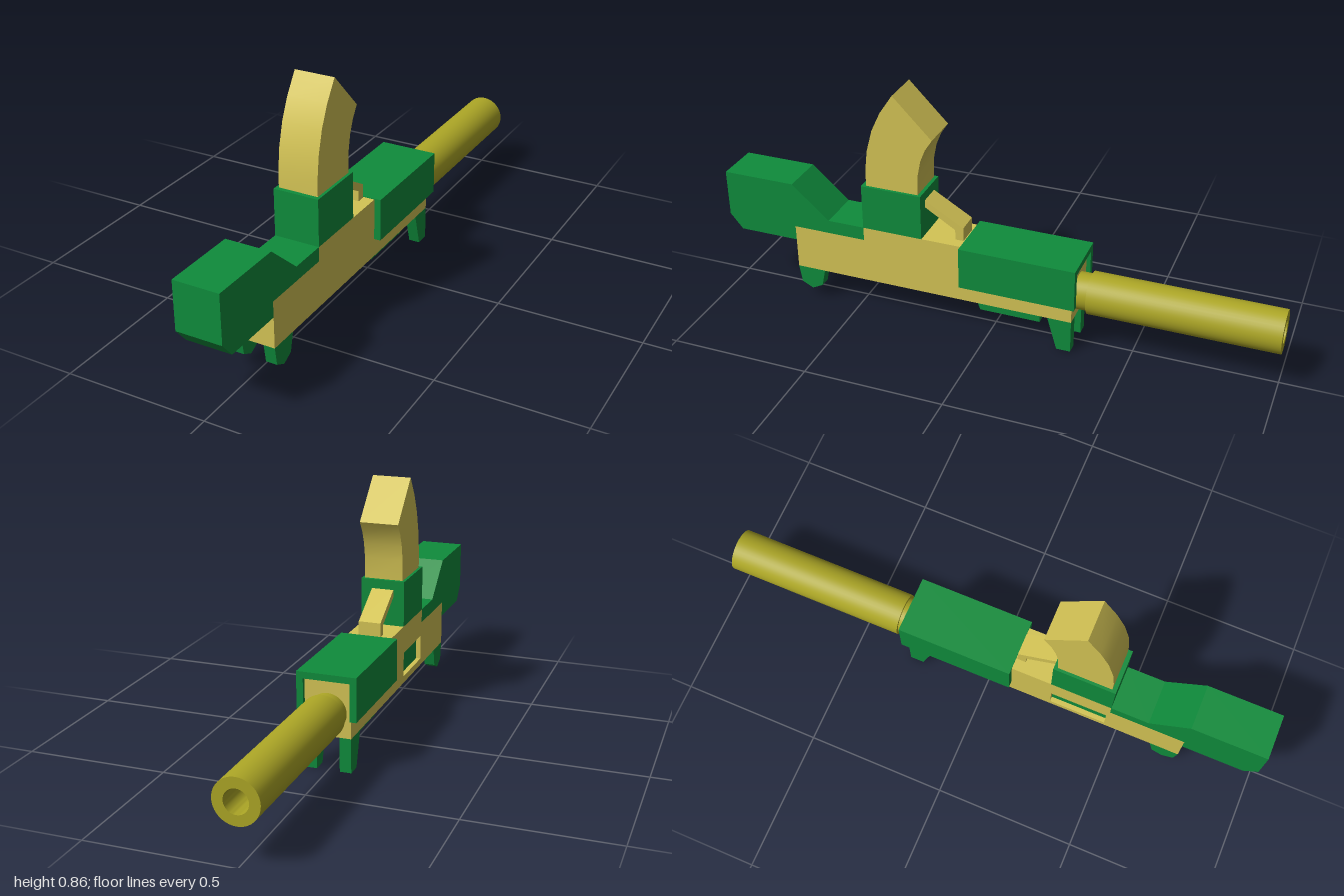
import * as THREE from 'three';
import { toCreasedNormals } from 'three/addons/utils/BufferGeometryUtils.js';

const mat = (color) => new THREE.MeshStandardMaterial({ color });

export function createModel() {
  const model = new THREE.Group();
  const tan = mat(0xd4c455), green = mat(0x0f8c3c), olive = mat(0xaca626);

  const add = (name, geometry, material, parent = model) => {
    const mesh = new THREE.Mesh(geometry, material);
    mesh.name = name;
    parent.add(mesh);
    return mesh;
  };
  // Side outline of [z, y] points, extruded from x0 to x1
  const outline = (pts) => pts.map(([z, y]) => new THREE.Vector2(-z, y));
  const profile = (pts, x0, x1, holes = []) => {
    const shape = new THREE.Shape(outline(pts));
    holes.forEach((h) => shape.holes.push(new THREE.Path(outline(h))));
    const g = new THREE.ExtrudeGeometry(shape, { depth: x1 - x0, bevelEnabled: false });
    return g.rotateY(Math.PI / 2).translate(x0, 0, 0);
  };
  const box = (x0, x1, y0, y1, z0, z1) =>
    new THREE.BoxGeometry(x1 - x0, y1 - y0, z1 - z0)
      .translate((x0 + x1) / 2, (y0 + y1) / 2, (z0 + z1) / 2);

  // Receiver: layers across x leave a side port and a slot underneath
  const receiver = new THREE.Group();
  receiver.name = 'receiver';
  model.add(receiver);
  const top = [[-0.3, 0.12], [-0.3, 0.315], [0.1, 0.315], [0.1, 0.335],
    [0.465, 0.335], [0.465, 0.285], [0.735, 0.285], [0.735, 0.12]];
  const notch = [[0.45, 0.12], [0.45, 0.15], [0.05, 0.15], [0.05, 0.12]];
  const port = [[0.25, 0.145], [0.455, 0.145], [0.455, 0.235], [0.25, 0.235]];
  add('receiverRight', profile(top, 0.03, 0.08), tan, receiver);
  add('receiverMiddle', profile([...top, ...notch], -0.03, 0.03), tan, receiver);
  add('receiverLeft', profile(top, -0.06, -0.03), tan, receiver);
  add('portWall', profile(top, -0.08, -0.06, [port]), tan, receiver);
  add('portBolt', box(-0.063, -0.055, 0.145, 0.235, 0.25, 0.455), green, receiver);
  add('slotBolt', box(-0.03, 0.03, 0.14, 0.15, 0.05, 0.45), green, receiver);

  // Stock
  add('stock', profile([[1, 0.455], [0.735, 0.455], [0.6, 0.335], [0.465, 0.335],
    [0.465, 0.285], [0.735, 0.285], [0.735, 0.23], [0.955, 0.23], [1, 0.285]],
  -0.08, 0.08), green);

  // Magazine well and curved magazine
  add('magazineWell', box(-0.08, 0.08, 0.335, 0.5, 0.245, 0.465), green);
  add('magazine', toCreasedNormals(profile([[0.45, 0.49], [0.449, 0.56], [0.44, 0.635],
    [0.418, 0.715], [0.385, 0.785], [0.338, 0.855], [0.2, 0.715], [0.226, 0.675],
    [0.244, 0.63], [0.255, 0.575], [0.258, 0.49]], -0.07, 0.07), 0.5), tan);

  // Sloping brace between well and handguard
  add('brace', profile([[0.25, 0.47], [0.25, 0.443], [0.135, 0.372], [0.135, 0.33],
    [0.105, 0.33], [0.105, 0.385]], -0.04, 0.04), tan);

  // Handguard: channel open underneath, lipped past the receiver end
  const handguard = new THREE.Group();
  handguard.name = 'handguard';
  model.add(handguard);
  add('handguardTop', box(-0.103, 0.103, 0.315, 0.338, -0.315, 0.1), green, handguard);
  for (const s of [-1, 1]) {
    const side = s < 0 ? [-0.103, -0.08] : [0.08, 0.103];
    add('handguardSide', box(...side, 0.185, 0.315, -0.315, 0.1), green, handguard);
  }

  // Hollow barrel with a narrower neck, turned about z
  const barrelProfile = [[0, -0.5], [0.04, -0.5], [0.04, -1], [0.075, -1], [0.075, -0.345],
    [0.065, -0.345], [0.065, -0.295], [0, -0.295]];
  const barrel = new THREE.LatheGeometry(
    barrelProfile.map(([r, z]) => new THREE.Vector2(r, z)), 40);
  add('barrel', toCreasedNormals(barrel.rotateX(Math.PI / 2), 0.6), olive)
    .position.y = 0.205;

  // Paired feet and the block between them
  const stockFoot = [[0.735, 0.12], [0.725, 0.055], [0.685, 0.035], [0.645, 0.055], [0.63, 0.12]];
  const barrelFoot = [[-0.215, 0.12], [-0.25, 0], [-0.3, 0], [-0.3, 0.12]];
  for (const x of [-0.08, 0.04]) {
    add('stockFoot', profile(stockFoot, x, x + 0.04), green);
    add('barrelFoot', profile(barrelFoot, x, x + 0.04), green);
  }
  add('underBlock', profile([[0.065, 0.12], [0.045, 0.067], [-0.175, 0.067], [-0.175, 0.12]],
    -0.04, 0.04), green);

  return model;
}
